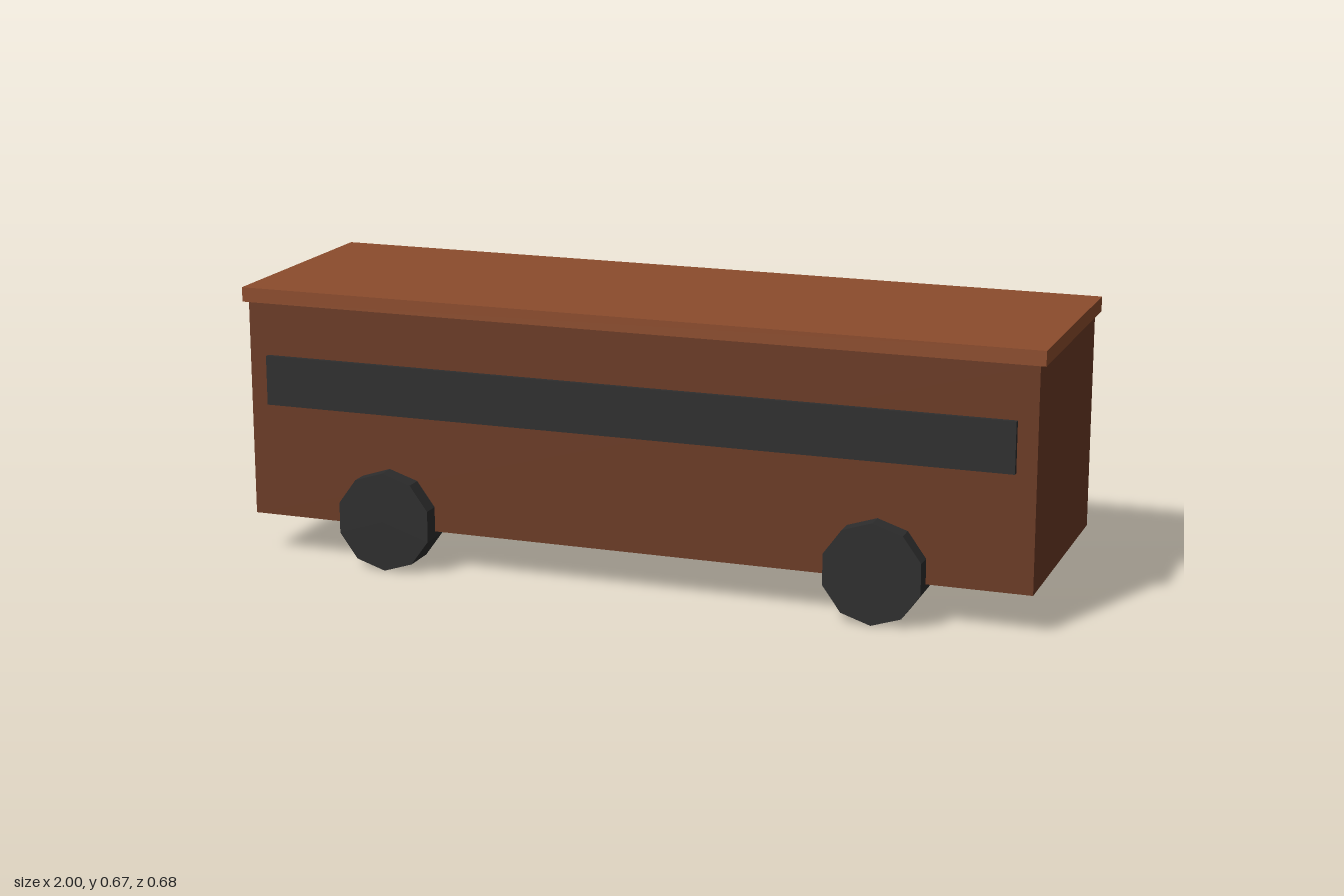
import * as THREE from 'three';

const material = (name, color) => {
  const m = new THREE.MeshStandardMaterial({ color });
  m.name = name;
  return m;
};

export function createModel() {
  const brown = material('dark brown', 0x6b3a24);
  const rust = material('roof brown', 0x8c4c2c);
  const black = material('charcoal', 0x2d2d2d);

  const model = new THREE.Group();
  model.name = 'bus';

  const add = (name, geometry, mat, x, y, z) => {
    const mesh = new THREE.Mesh(geometry, mat);
    mesh.name = name;
    mesh.position.set(x, y, z);
    model.add(mesh);
  };

  // Box body with a slightly overhanging roof slab
  add('body', new THREE.BoxGeometry(1.972, 0.54, 0.592), brown, 0, 0.37, 0);
  add('roof', new THREE.BoxGeometry(2, 0.036, 0.606), rust, 0, 0.656, 0);

  // Ten-sided wheels with faceted treads, axles along z
  const wheel = new THREE.CylinderGeometry(0.1235, 0.1235, 0.086, 10)
    .rotateX(Math.PI / 2)
    .toNonIndexed();
  wheel.computeVertexNormals();

  // One window band and two wheels on each long side
  const band = new THREE.BoxGeometry(1.876, 0.123, 0.026);
  for (const [side, sz] of [['front', 1], ['back', -1]]) {
    add(`${side}WindowBand`, band, black, 0, 0.446, sz * 0.296);
    for (const [end, sx] of [['Left', 1], ['Right', -1]]) {
      add(`${side}${end}Wheel`, wheel, black, sx * 0.617, 0.1235, sz * 0.297);
    }
  }

  return model;
}
